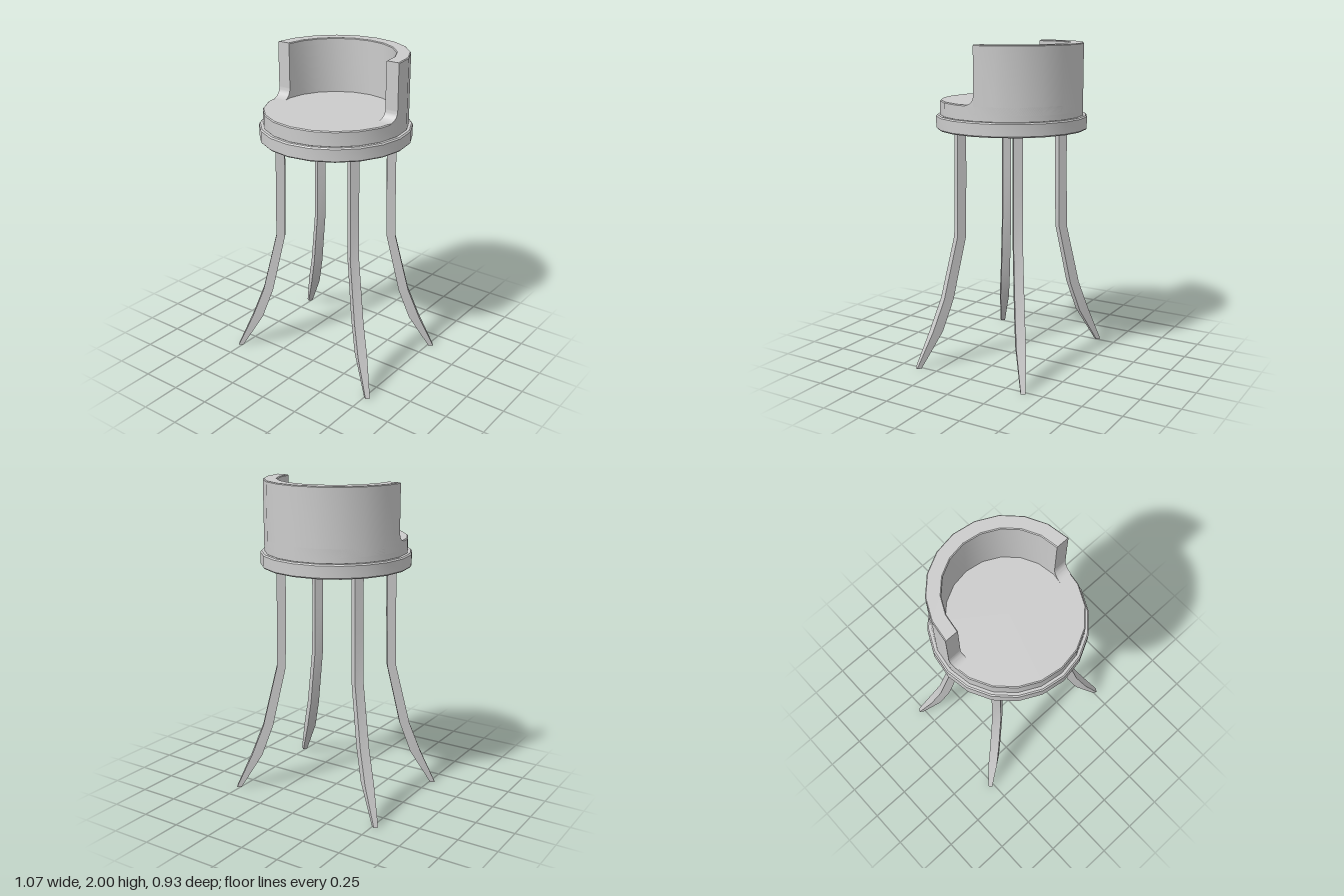
import * as THREE from 'three';
import { toCreasedNormals } from 'three/addons/utils/BufferGeometryUtils.js';

const SIDES = 20;
const mat = new THREE.MeshStandardMaterial({ color: 0xcccccc });

function addMesh(parent, name, geometry) {
  const mesh = new THREE.Mesh(toCreasedNormals(geometry, 0.45), mat);
  mesh.name = name;
  parent.add(mesh);
  return mesh;
}

const points = (list) => list.map(([x, y]) => new THREE.Vector2(x, y));

// Round slab with softly chamfered rims
function disc(radius, y0, y1, c = 0.008) {
  return new THREE.LatheGeometry(points([
    [0, y0], [radius - c, y0], [radius, y0 + c],
    [radius, y1 - c], [radius - c, y1], [0, y1],
  ]), SIDES);
}

// Leg stations, top to foot: height, distance from axis, radial depth, width
const LEG = [
  [1.5, 0.34, 0.056, 0.054],
  [1.17, 0.343, 0.056, 0.054],
  [0.82, 0.35, 0.056, 0.056],
  [0.43, 0.44, 0.062, 0.058],
  [0.23, 0.515, 0.066, 0.058],
  [0, 0.637, 0.03, 0.028],
];

function legGeometry() {
  const rows = LEG.length - 1;
  const geo = new THREE.BoxGeometry(1, 1, 1, 1, rows, 1);
  const pos = geo.attributes.position;
  for (let i = 0; i < pos.count; i++) {
    const [y, r, depth, width] = LEG[Math.round((0.5 - pos.getY(i)) * rows)];
    pos.setXYZ(i, r + pos.getX(i) * depth, y, pos.getZ(i) * width);
  }
  return geo;
}

// Concave foot that blends an arm end into the seat, following the rim facet
function filletGeometry(side, inner, outer, seatY) {
  const R = 0.062, y0 = seatY - 0.012;
  const shape = new THREE.Shape();
  shape.moveTo(0, y0);
  shape.lineTo(R, y0);
  shape.lineTo(R, seatY);
  shape.absarc(R, seatY + R, R, -Math.PI / 2, -Math.PI, true);
  shape.lineTo(0, y0);
  const geo = new THREE.ExtrudeGeometry(shape, {
    depth: outer - inner, bevelEnabled: false, curveSegments: 6,
  });
  geo.rotateY(-Math.PI / 2);
  geo.translate(side > 0 ? outer : -inner, 0, 0);
  const slope = Math.tan(Math.PI / SIDES);
  const pos = geo.attributes.position;
  for (let i = 0; i < pos.count; i++) {
    pos.setX(i, pos.getX(i) - side * slope * pos.getZ(i));
  }
  return geo;
}

export function createModel() {
  const model = new THREE.Group();
  model.name = 'barStool';

  const seatY = 1.655, inner = 0.355, outer = 0.44;
  addMesh(model, 'seatBase', disc(0.465, 1.478, 1.565));
  addMesh(model, 'seat', disc(outer, 1.56, seatY, 0.006));

  // Half-ring backrest, its two ends closed by flat caps
  const backrest = new THREE.Group();
  backrest.name = 'backrest';
  model.add(backrest);
  const c = 0.005;
  const profile = [
    [inner, 1.6], [outer, 1.6], [outer, 2 - c], [outer - c, 2],
    [inner + c, 2], [inner, 2 - c], [inner, 1.6],
  ];
  addMesh(backrest, 'backrestWall',
    new THREE.LatheGeometry(points(profile), SIDES / 2, Math.PI / 2, Math.PI));
  for (const side of [1, -1]) {
    const label = side > 0 ? 'left' : 'right';
    const cap = new THREE.Shape(points(profile.map(([x, y]) => [side * x, y])));
    addMesh(backrest, label + 'BackrestEnd', new THREE.ShapeGeometry(cap));
    addMesh(backrest, label + 'BackrestFillet',
      filletGeometry(side, inner, outer, seatY));
  }

  // Four splayed legs
  const splay = Math.PI / 5;
  const legs = {
    frontLeftLeg: splay,
    frontRightLeg: Math.PI - splay,
    backRightLeg: Math.PI + splay,
    backLeftLeg: -splay,
  };
  for (const [name, angle] of Object.entries(legs)) {
    addMesh(model, name, legGeometry()).rotation.y = -angle;
  }
  return model;
}
